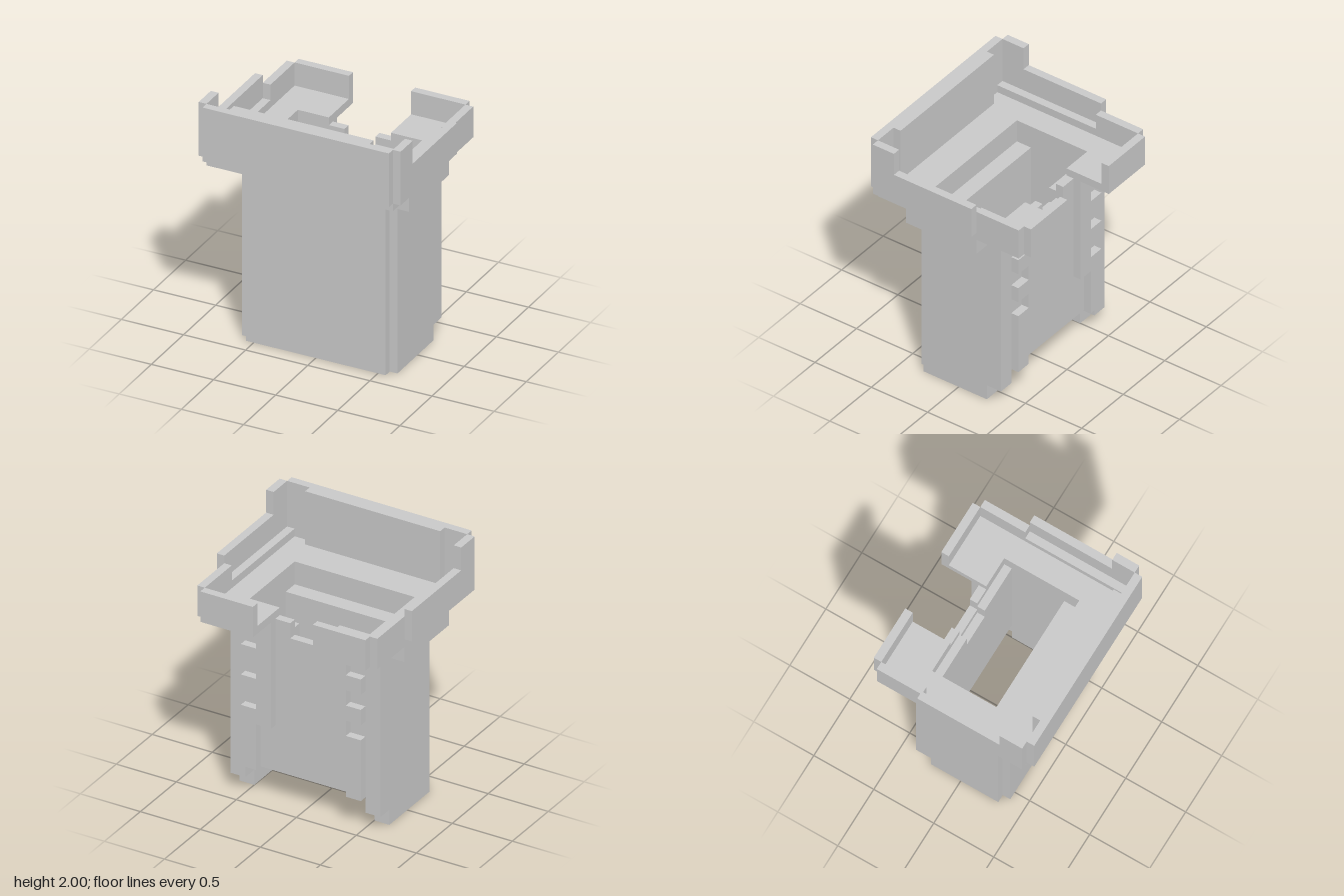
import * as THREE from 'three';

const U = 1 / 16; // modelling unit: every size below is a multiple of this

export function createModel() {
  const group = new THREE.Group();
  const material = new THREE.MeshStandardMaterial({ color: 0xcccccc, flatShading: true });

  const add = (name, geometry) => {
    const mesh = new THREE.Mesh(geometry, material);
    mesh.name = name;
    group.add(mesh);
    return mesh;
  };

  // Box given by its limits along each axis, in units
  const box = (name, [x0, x1], [y0, y1], [z0, z1]) => {
    const g = new THREE.BoxGeometry((x1 - x0) * U, (y1 - y0) * U, (z1 - z0) * U);
    g.translate((x0 + x1) / 2 * U, (y0 + y1) / 2 * U, (z0 + z1) / 2 * U);
    return add(name, g);
  };

  // The same box on both sides of the model
  const pair = (name, [x0, x1], y, z) => {
    box(name + 'Left', [x0, x1], y, z);
    box(name + 'Right', [-x1, -x0], y, z);
  };

  const outline = (points, Kind = THREE.Shape) =>
    new Kind(points.map(([a, b]) => new THREE.Vector2(a * U, b * U)));
  const extrude = (shape, depth) =>
    new THREE.ExtrudeGeometry(shape, { depth: depth * U, bevelEnabled: false });

  // (z, y) profile extruded across x from x0 to x1, on both sides
  const sidePair = (name, points, x0, x1) => {
    for (const [suffix, start] of [['Left', x0], ['Right', -x1]]) {
      const g = extrude(outline(points.map(([z, y]) => [-z, y])), x1 - x0);
      g.rotateY(Math.PI / 2).translate(start * U, 0, 0);
      add(name + suffix, g);
    }
  };

  // (x, y) profile extruded along z from z0 to z1
  const frontal = (name, points, z0, z1) => {
    const g = extrude(outline(points), z1 - z0);
    g.translate(0, 0, z0 * U);
    add(name, g);
  };

  // Shaft: front wall, thicker inner wall and stepped side walls
  box('shaftFrontWall', [-9, 9], [0, 24], [5, 6]);
  box('shaftInnerFrontWall', [-8, 8], [2, 22], [3, 5]);
  sidePair('shaftSideWall', [[5, 0], [5, 24], [-6, 24], [-6, 2], [-4, 2], [-4, 0]], 8, 10);
  pair('frontCornerCap', [9, 10], [23, 24], [5, 6]);

  // Back wall in two layers, each with a notch in its top edge
  const notched = (top) => [
    [-8, 4], [8, 4], [8, top], [2, top], [2, top - 2], [-2, top - 2], [-2, top], [-8, top],
  ];
  frontal('shaftBackWall', notched(24), -6, -5);
  frontal('shaftBackLining', notched(23), -5, -4);

  // Toothed rails on the back wall
  const rail = [[8, 4], [6, 4], [6, 10], [4, 10], [4, 24], [8, 24]];
  for (const y of [22, 18, 14]) rail.push([8, y], [6, y], [6, y - 2], [8, y - 2]);
  frontal('backRailLeft', rail, -7, -6);
  frontal('backRailRight', rail.map(([x, y]) => [-x, y]), -7, -6);

  // Tray floor with the shaft opening and a slot cut in from the back
  const floor = outline([
    [-12, 10], [12, 10], [12, -4], [11, -4], [11, -10], [4, -10], [4, -5],
    [8, -5], [8, 5], [-8, 5], [-8, -5], [-4, -5], [-4, -10], [-11, -10], [-11, -4], [-12, -4],
  ].map(([x, z]) => [x, -z]));
  add('trayFloor', extrude(floor, 1).rotateX(-Math.PI / 2).translate(0, 24 * U, 0));

  // Blocks carrying the tray beside the shaft
  pair('trayBracket', [10, 12], [22, 24], [-4, 6]);

  // Tray walls
  box('trayFrontWall', [-12, 12], [25, 32], [10, 11]);
  box('trayFrontLining', [-9, 9], [25, 32], [9, 10]);
  sidePair('traySideWall', [[10, 25], [10, 32], [7, 32], [7, 29], [-4, 29], [-4, 25]], 12, 13);
  pair('traySideLip', [11, 12], [25, 26], [-4, 10]);
  pair('trayRearSideWall', [11, 12], [24, 28], [-10, -4]);
  pair('trayBackWall', [4, 11], [24, 28], [-11, -10]);

  return group;
}
